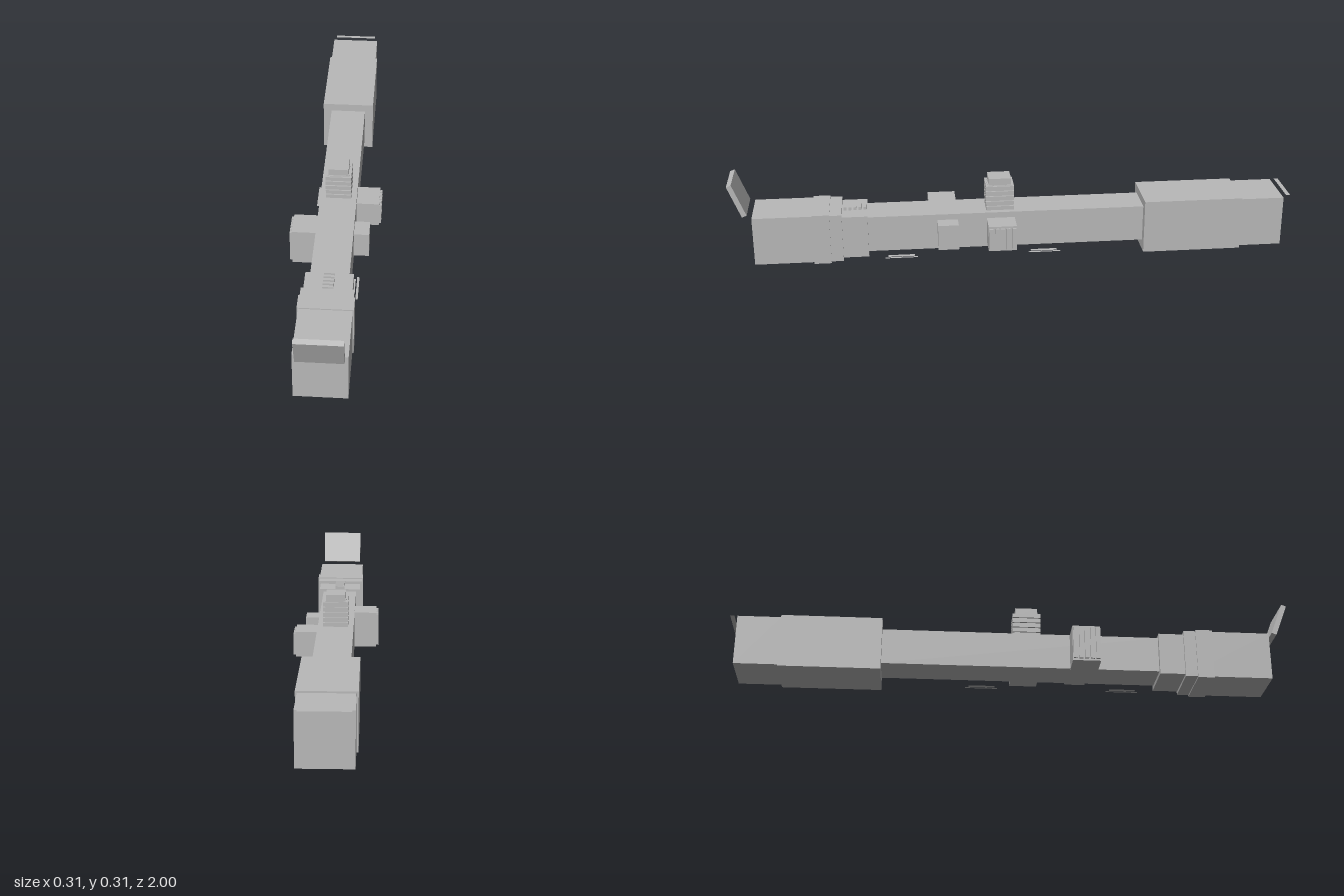
import * as THREE from 'three';

const grey = new THREE.MeshStandardMaterial({ color: 0xb8b8b8, side: THREE.DoubleSide });
grey.name = 'plain grey';

export function createModel() {
  const model = new THREE.Group();
  model.name = 'sightingScope';

  // Box given by its min and max on each axis
  const box = (name, [x0, x1], [y0, y1], [z0, z1]) => {
    const m = new THREE.Mesh(new THREE.BoxGeometry(x1 - x0, y1 - y0, z1 - z0), grey);
    m.position.set((x0 + x1) / 2, (y0 + y1) / 2, (z0 + z1) / 2);
    m.name = name;
    model.add(m);
    return m;
  };
  // Horizontal sheet
  const sheet = (name, [x0, x1], y, [z0, z1]) => {
    const m = new THREE.Mesh(new THREE.PlaneGeometry(x1 - x0, z1 - z0), grey);
    m.rotation.x = -Math.PI / 2;
    m.position.set((x0 + x1) / 2, y, (z0 + z1) / 2);
    m.name = name;
    model.add(m);
  };

  // Tube and end housings
  box('mainTube', [-0.065, 0.065], [0.035, 0.166], [-0.47, 0.53]);
  box('largeHousing', [-0.096, 0.096], [0, 0.195], [-0.82, -0.465]);
  box('largeEnd', [-0.09, 0.09], [0.007, 0.189], [-0.973, -0.82]);
  box('eyepiece', [-0.087, 0.087], [0.011, 0.187], [0.612, 0.923]);
  box('eyepieceBand', [-0.091, 0.091], [0.006, 0.191], [0.655, 0.715]);
  box('zoomRing', [-0.08, 0.08], [0.021, 0.176], [0.522, 0.612]);

  // Grip ribs on the zoom ring
  for (let i = 0; i < 5; i++) {
    const z = 0.526 + i * 0.0175;
    box('zoomRib', [-0.018, 0.018], [0.17, 0.187], [z, z + 0.01]);
  }

  // Top turret with horizontal grip layers
  box('topTurretCore', [-0.039, 0.039], [0.16, 0.258], [0.006, 0.094]);
  for (let i = 0; i < 5; i++) {
    const y = 0.165 + i * 0.019;
    box('topTurretRib', [-0.045, 0.045], [y, y + 0.015], [0, 0.1]);
  }
  box('topTurretCap', [-0.035, 0.035], [0.25, 0.282], [0.01, 0.09]);

  // Side turrets with upright ribs on the outer face
  const sideTurret = (name, side, reach, y0, y1, z0, z1, ribs) => {
    const span = (a, b) => (side > 0 ? [a, b] : [-b, -a]);
    box(name, span(0.06, reach), [y0, y1], [z0, z1]);
    const pitch = (z1 - z0) / ribs;
    for (let i = 0; i < ribs; i++) {
      const z = z0 + pitch * (i + 0.15);
      box(name + 'Rib', span(reach - 0.004, reach + 0.008), [y0 + 0.007, y1 - 0.007], [z, z + pitch * 0.7]);
    }
  };
  sideTurret('leftTurret', 1, 0.145, 0.052, 0.145, 0, 0.1, 5);
  sideTurret('rightTurret', -1, 0.147, 0.032, 0.165, 0.203, 0.302, 5);
  box('leftKnob', [0.06, 0.118], [0.052, 0.145], [0.203, 0.276]);

  // Thin mount strips beneath the tube
  for (const z of [-0.105, 0.407]) {
    for (const s of [-1, 1]) {
      const span = (a, b) => (s > 0 ? [a, b] : [-b, -a]);
      sheet('mountFlange', span(0.082, 0.09), 0.015, [z - 0.058, z + 0.058]);
      sheet('mountStrip', span(0.064, 0.078), 0.015, [z - 0.047, z + 0.047]);
    }
  }

  // Open flip covers
  const cover = box('eyepieceCover', [-0.076, 0.076], [0.188, 0.312], [0.959, 0.977]);
  cover.position.set(0.001, 0.251, 0.97);
  cover.rotation.x = Math.atan2(0.045, 0.115);
  sheet('largeEndCover', [-0.08, 0.08], 0.194, [-1, -0.985]);

  return model;
}
